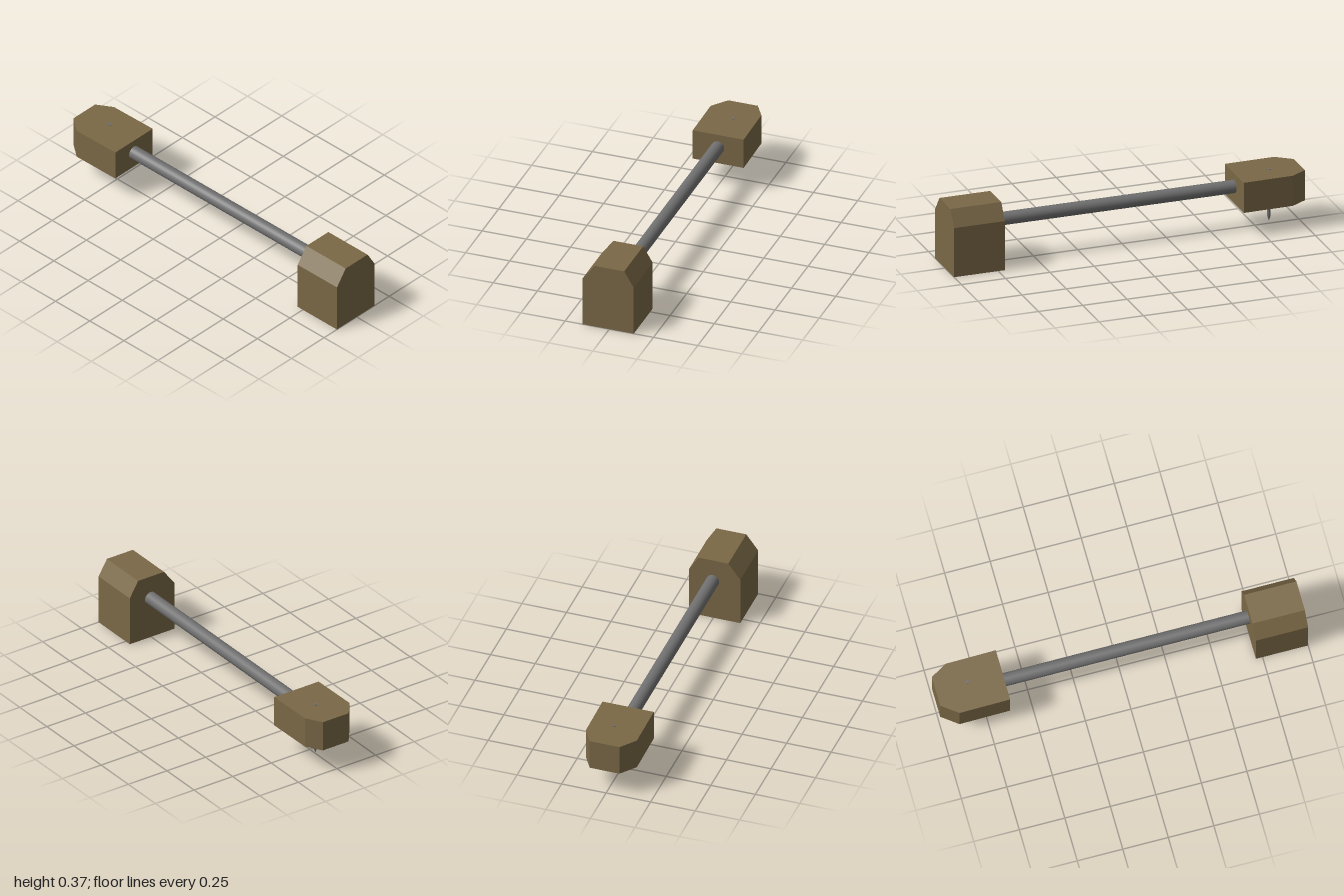
import * as THREE from 'three';

const wood = new THREE.MeshStandardMaterial({ name: 'brown wood', color: 0x7a6846 });
const steel = new THREE.MeshStandardMaterial({ name: 'grey steel', color: 0x707070 });

// Extruded block from an outline of [x, y] points
function block(name, outline, depth) {
  const shape = new THREE.Shape(outline.map(([x, y]) => new THREE.Vector2(x, y)));
  const geometry = new THREE.ExtrudeGeometry(shape, { depth, bevelEnabled: false });
  const mesh = new THREE.Mesh(geometry, wood);
  mesh.name = name;
  return mesh;
}

// Round bar along y, from y0 to y1
function bar(name, topRadius, bottomRadius, y0, y1) {
  const geometry = new THREE.CylinderGeometry(topRadius, bottomRadius, y1 - y0, 24);
  geometry.translate(0, (y0 + y1) / 2, 0);
  const mesh = new THREE.Mesh(geometry, steel);
  mesh.name = name;
  return mesh;
}

export function createModel() {
  const model = new THREE.Group();
  model.name = 'pivotArm';

  // Standing base with chamfered top edges
  const base = block('baseBlock', [
    [-0.151, 0], [0.138, 0], [0.138, 0.28], [0.084, 0.369], [-0.084, 0.369], [-0.151, 0.28],
  ], 0.287);
  base.position.z = 0.713;
  model.add(base);

  // Flat head with chamfered rear corners; outline y points to the back
  const head = block('headBlock', [
    [-0.139, 0.633], [0.149, 0.633], [0.145, 0.912], [0.092, 1], [-0.075, 1], [-0.142, 0.912],
  ], 0.172);
  head.rotation.x = -Math.PI / 2;
  head.position.y = 0.142;
  model.add(head);

  // Long rod joining the two blocks
  const rod = bar('connectingRod', 0.036, 0.036, -0.75, 0.75);
  rod.rotation.x = -Math.PI / 2;
  rod.position.set(0.003, 0.239, 0.03);
  model.add(rod);

  // Thin pin through the head, pointed at the bottom
  const pin = new THREE.Group();
  pin.name = 'pin';
  pin.add(bar('pinShaft', 0.009, 0.009, 0.05, 0.318), bar('pinTip', 0.009, 0.001, 0.024, 0.05));
  pin.position.set(0.017, 0, -0.824);
  model.add(pin);

  return model;
}
